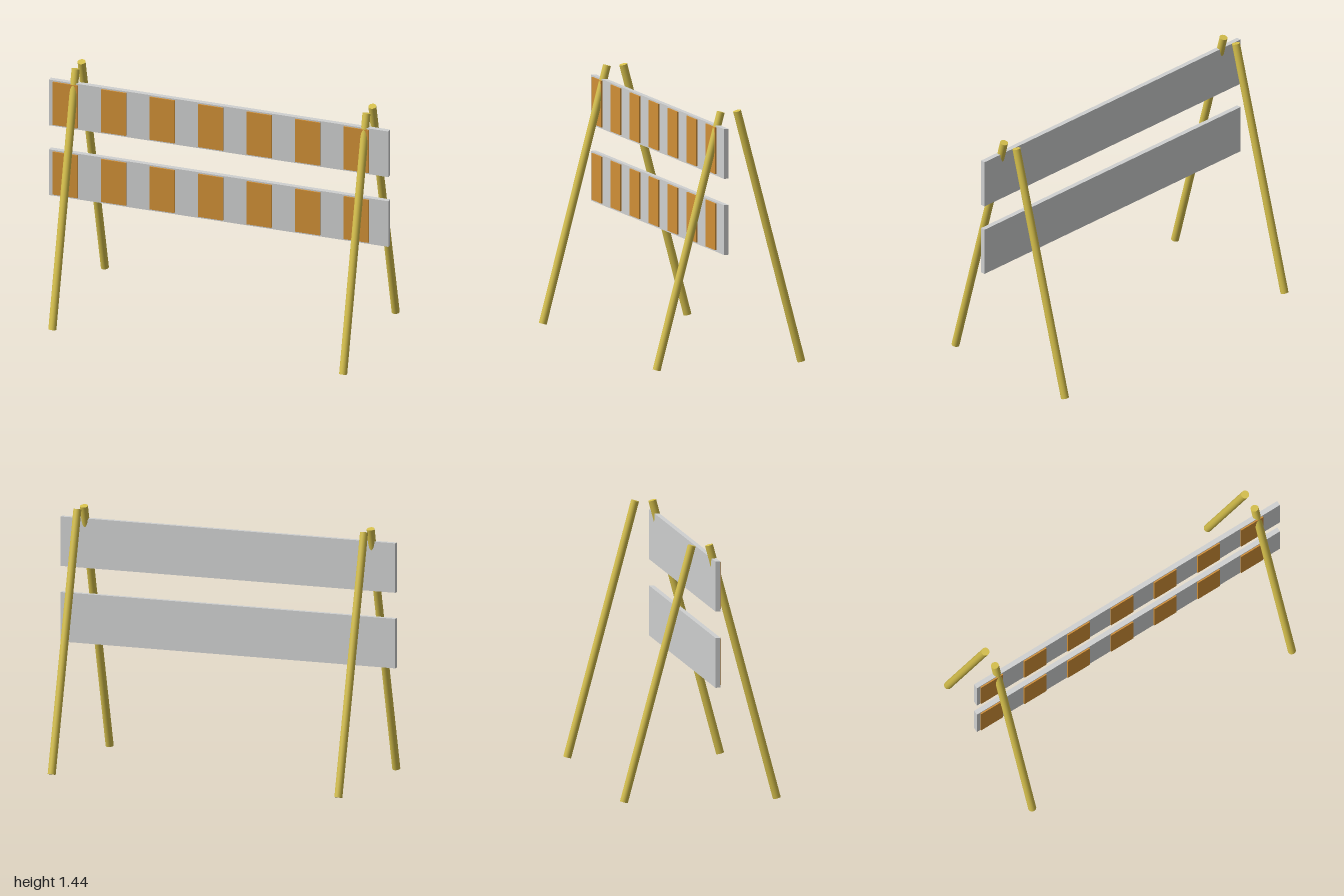
import * as THREE from 'three';

export function createModel() {
  const model = new THREE.Group();
  model.name = 'roadBarrier';

  const yellow = new THREE.MeshStandardMaterial({ color: 0xd6c04c });
  yellow.name = 'yellow';
  const grey = new THREE.MeshStandardMaterial({ color: 0xcfd0d0 });
  grey.name = 'lightGrey';
  const orange = new THREE.MeshStandardMaterial({ color: 0xd08f36 });
  orange.name = 'orange';

  const add = (name, geometry, material, x, y, z) => {
    const mesh = new THREE.Mesh(geometry, material);
    mesh.name = name;
    mesh.position.set(x, y, z);
    model.add(mesh);
    return mesh;
  };

  // Four round legs leaning inward towards the top
  const legGeometry = new THREE.CylinderGeometry(0.0225, 0.0225, 1.48, 24);
  for (const [side, x] of [['left', 0.857], ['right', -0.857]]) {
    for (const [end, sign] of [['Front', 1], ['Back', -1]]) {
      const leg = add(`${side}${end}Leg`, legGeometry, yellow, x, 0.721, sign * 0.24);
      leg.rotation.x = -sign * THREE.MathUtils.degToRad(15);
    }
  }

  // Two boards with seven raised stripes on the front of each
  const boardGeometry = new THREE.BoxGeometry(2, 0.28, 0.028);
  const stripeGeometry = new THREE.BoxGeometry(0.146, 0.262, 0.009);
  for (const [level, y] of [['upper', 1.223], ['lower', 0.795]]) {
    add(`${level}Board`, boardGeometry, grey, 0, y, 0.072);
    for (let i = 0; i < 7; i++) {
      add(`${level}Stripe${i + 1}`, stripeGeometry, orange, -0.904 + i * 0.286, y + 0.001, 0.0895);
    }
  }

  return model;
}
